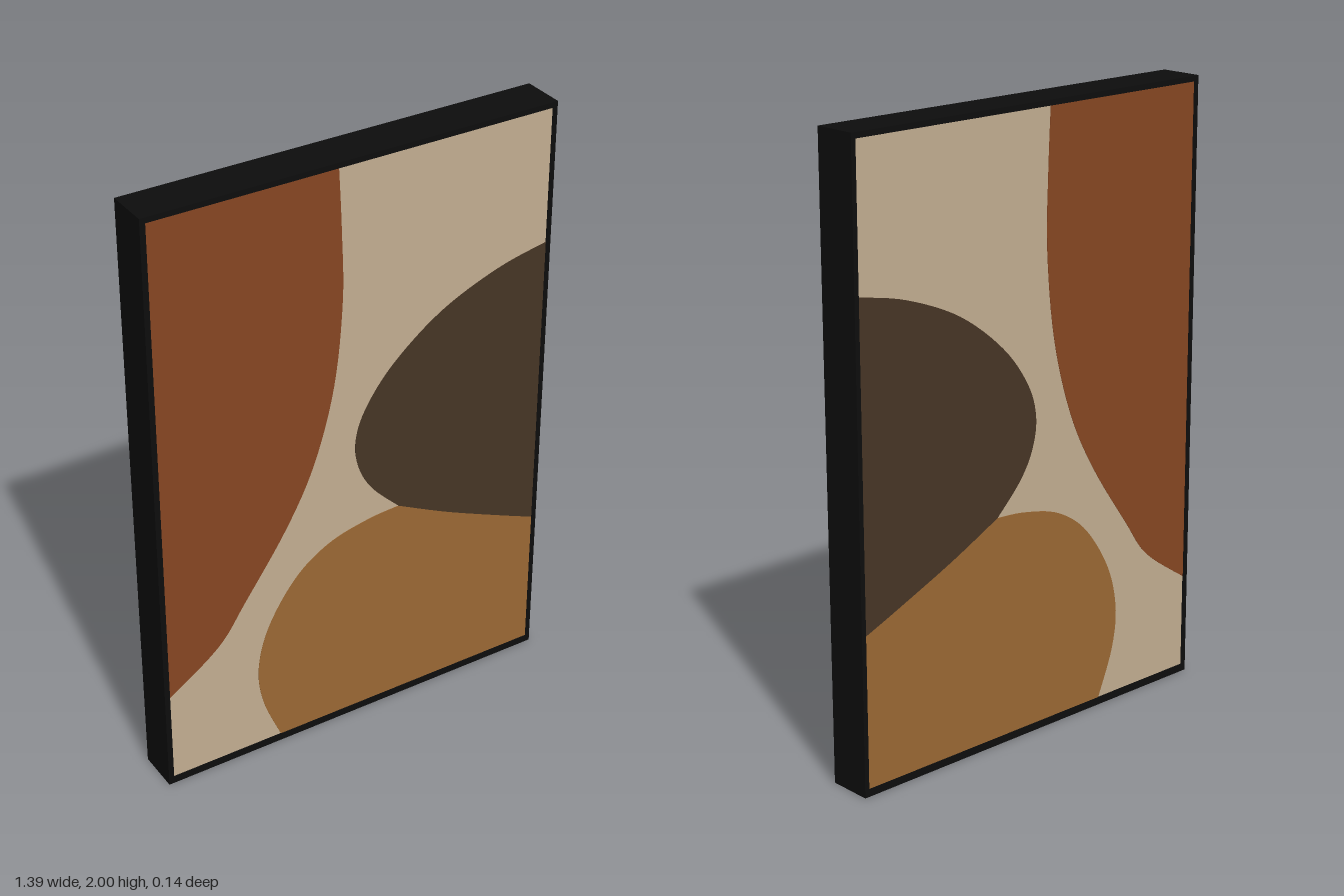
import * as THREE from 'three';

const mat = (name, color) => {
  const m = new THREE.MeshStandardMaterial({ color });
  m.name = name;
  return m;
};

// Outer frame and the opening inside it
const OUT = { l: -0.693, r: 0.693, b: 0, t: 2 };
const IN = { l: -0.675, r: 0.677, b: 0.025, t: 1.982 };
const FRAME_DEPTH = 0.144, CANVAS_DEPTH = 0.138, PAINT_DEPTH = 0.141;

const vec = (pts) => pts.map(([x, y]) => new THREE.Vector2(x, y));
const smooth = (pts) => new THREE.SplineCurve(vec(pts)).getPoints(48);
const rect = ({ l, r, b, t }) => vec([[l, b], [r, b], [r, t], [l, t]]);

// Flat slab centred on z = 0, so it shows on both faces
function slab(name, points, depth, material, hole) {
  const shape = new THREE.Shape(points);
  if (hole) shape.holes.push(new THREE.Path(hole));
  const geo = new THREE.ExtrudeGeometry(shape, { depth, bevelEnabled: false });
  geo.translate(0, 0, -depth / 2);
  const mesh = new THREE.Mesh(geo, material);
  mesh.name = name;
  return mesh;
}

export function createModel() {
  const group = new THREE.Group();
  group.name = 'framedAbstractPainting';

  const black = mat('frame black', 0x0d0d0d);
  const cream = mat('canvas cream', 0xc2ad91);
  const rust = mat('rust', 0x864622);
  const brown = mat('dark brown', 0x463525);
  const ochre = mat('ochre', 0x9a6834);

  group.add(slab('frame', rect(OUT), FRAME_DEPTH, black, rect(IN)));
  group.add(slab('canvas', rect(IN), CANVAS_DEPTH, cream));

  // Large rust curve on the upper side
  const rustEdge = smooth([[IN.l, 0.34], [-0.5, 0.465], [-0.4, 0.6], [-0.25, 0.82], [-0.15, 1.02],
    [-0.08, 1.27], [-0.05, 1.55], [-0.053, 1.78], [-0.062, IN.t]]);
  group.add(slab('rustShape', [...rustEdge, ...vec([[IN.l, IN.t]])], PAINT_DEPTH, rust));

  // Seam shared by the brown and ochre shapes
  const seam = smooth([[0.155, 0.752], [0.34, 0.66], [0.55, 0.568], [IN.r, 0.515]]);

  const brownEdge = smooth([[IN.r, 1.535], [0.5, 1.495], [0.3, 1.41], [0.13, 1.28], [0.03, 1.15],
    [-0.005, 1.04], [0.01, 0.94], [0.06, 0.85], [0.155, 0.752]]);
  group.add(slab('brownShape', [...brownEdge, ...seam.slice(1)], PAINT_DEPTH, brown));

  const ochreEdge = smooth([[-0.285, IN.b], [-0.345, 0.18], [-0.36, 0.32], [-0.32, 0.47], [-0.22, 0.62],
    [-0.1, 0.705], [0.04, 0.742], [0.155, 0.752]]);
  group.add(slab('ochreShape', [...ochreEdge, ...seam.slice(1), ...vec([[IN.r, IN.b]])], PAINT_DEPTH, ochre));

  return group;
}
